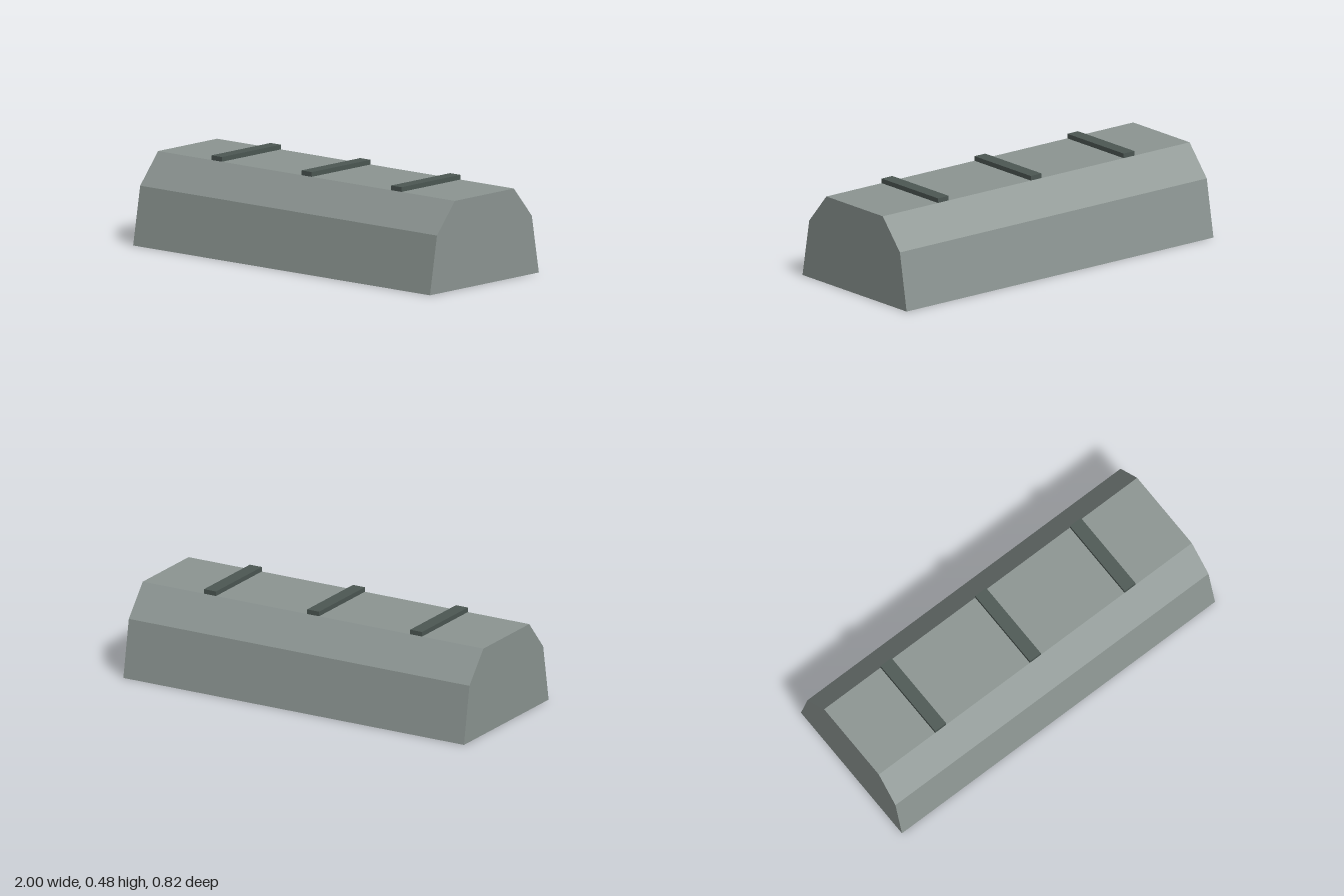
import * as THREE from 'three';

export function createModel() {
  const group = new THREE.Group();
  const bodyGrey = new THREE.MeshStandardMaterial({ name: 'body grey', color: 0x8c9592 });
  const strapGrey = new THREE.MeshStandardMaterial({ name: 'dark strap grey', color: 0x4c5753 });

  // Long body: symmetric six-sided section extruded along x
  const half = [[0.41, 0], [0.357, 0.298], [0.222, 0.456]];
  const outline = [...half, ...half.map(([z, y]) => [-z, y]).reverse()];
  const section = new THREE.Shape(outline.map(([z, y]) => new THREE.Vector2(z, y)));
  const bodyGeometry = new THREE.ExtrudeGeometry(section, { depth: 2, bevelEnabled: false });
  bodyGeometry.translate(0, 0, -1).rotateY(Math.PI / 2);
  const body = new THREE.Mesh(bodyGeometry, bodyGrey);
  body.name = 'body';
  group.add(body);

  // Three flat straps across the top
  const strapGeometry = new THREE.BoxGeometry(0.07, 0.024, 0.444);
  for (const x of [-0.605, 0, 0.605]) {
    const strap = new THREE.Mesh(strapGeometry, strapGrey);
    strap.name = 'topStrap';
    strap.position.set(x, 0.468, 0);
    group.add(strap);
  }
  return group;
}
